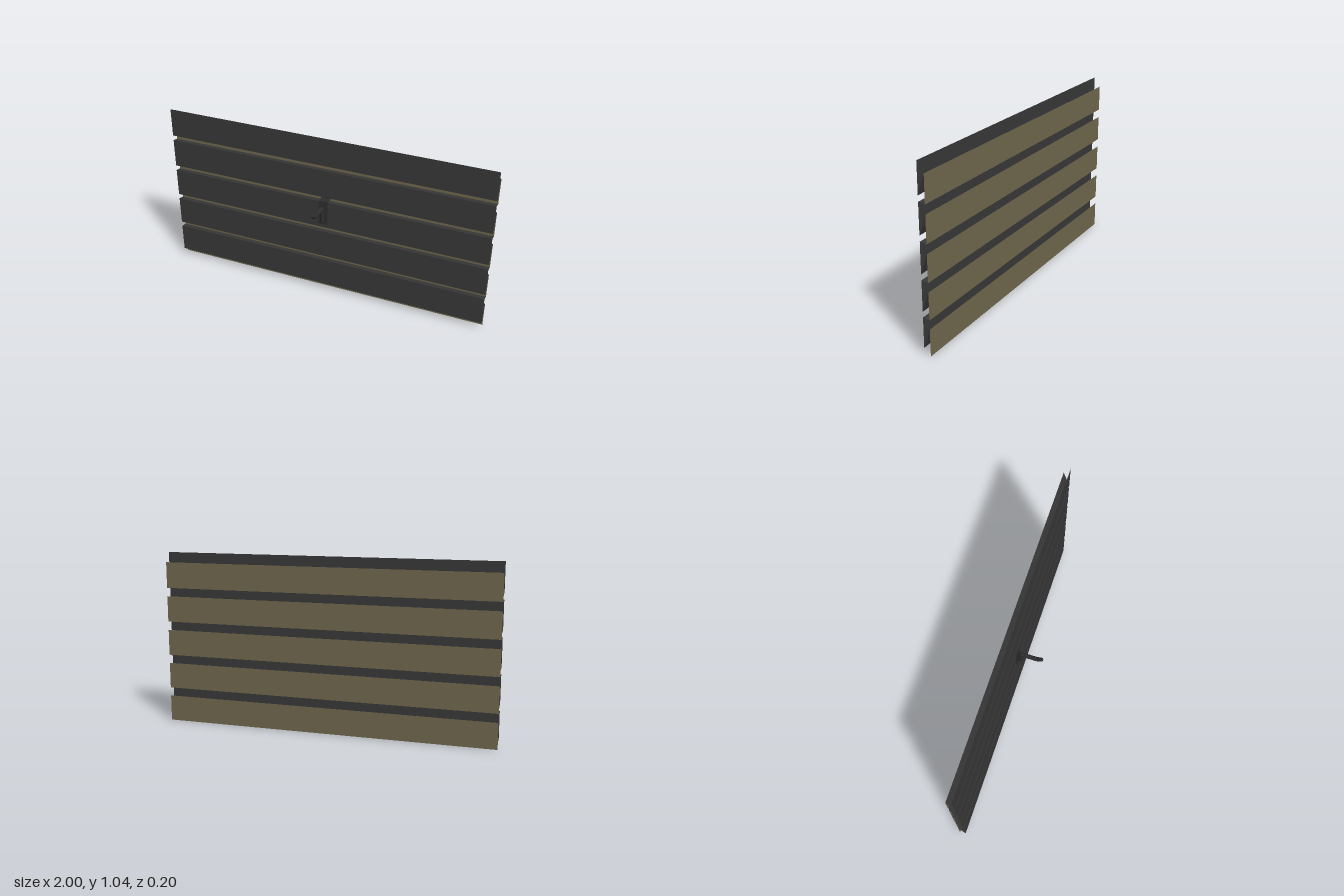
import * as THREE from 'three';

const mat = (color) => new THREE.MeshStandardMaterial({ color, side: THREE.DoubleSide });

export function createModel() {
  const model = new THREE.Group();
  const dark = mat(0x383838), tan = mat(0x6f674d), steel = mat(0x2e2e2e);
  const add = (parent, name, geometry, material) => {
    const mesh = new THREE.Mesh(geometry, material);
    mesh.name = name;
    parent.add(mesh);
    return mesh;
  };

  // Flat sheet running the full width between two [y, z] profile points
  const sheet = (parent, name, [y0, z0], [y1, z1], material) => {
    const dy = y1 - y0, dz = z1 - z0;
    const g = new THREE.PlaneGeometry(2, Math.hypot(dy, dz));
    g.rotateX(Math.atan2(dz, dy));
    g.translate(0, (y0 + y1) / 2, (z0 + z1) / 2);
    add(parent, name, g, material);
  };

  // Slatted wall panel: front face, back strip, sloping web and slot ledge
  const panel = new THREE.Group();
  panel.name = 'slatPanel';
  model.add(panel);
  const count = 5, pitch = 0.206, front = -0.061, back = -0.1;
  for (let i = 0; i < count; i++) {
    const y = i * pitch;
    const slat = new THREE.Group();
    slat.name = 'slat' + (i + 1);
    panel.add(slat);
    sheet(slat, 'slatFace', [y + 0.039, front], [y + 0.213, front], dark);
    sheet(slat, 'slatBack', [y, back], [y + 0.155, back], tan);
    sheet(slat, 'slatWeb', [y + 0.039, front], [y + 0.155, back], dark);
    if (i < count - 1) sheet(slat, 'slotLedge', [y + 0.213, front], [y + pitch, back], dark);
  }

  // Hook hanging in a slot
  const hook = new THREE.Group();
  hook.name = 'hook';
  model.add(hook);
  const box = (name, w, y0, y1, z0, z1) => {
    const g = new THREE.BoxGeometry(w, y1 - y0, z1 - z0);
    g.translate(0, (y0 + y1) / 2, (z0 + z1) / 2);
    add(hook, name, g, steel);
  };
  box('hookPlate', 0.056, 0.478, 0.634, -0.056, -0.051);
  box('hookLedge', 0.056, 0.629, 0.634, -0.098, -0.056);
  box('hookTab', 0.056, 0.629, 0.687, -0.099, -0.094);

  // Bent rod: up the plate, forward, then a raised tip
  const p = (y, z) => new THREE.Vector3(0, y, z);
  const path = new THREE.CurvePath();
  path.add(new THREE.LineCurve3(p(0.503, -0.038), p(0.579, -0.038)));
  path.add(new THREE.QuadraticBezierCurve3(p(0.579, -0.038), p(0.595, -0.038), p(0.595, -0.022)));
  path.add(new THREE.LineCurve3(p(0.595, -0.022), p(0.595, 0.058)));
  path.add(new THREE.QuadraticBezierCurve3(p(0.595, 0.058), p(0.595, 0.066), p(0.599, 0.072)));
  path.add(new THREE.LineCurve3(p(0.599, 0.072), p(0.609, 0.088)));
  const radius = 0.0125;
  add(hook, 'hookRod', new THREE.TubeGeometry(path, 48, radius, 10, false), steel);
  for (const [name, end] of [['rodFoot', p(0.503, -0.038)], ['rodTip', p(0.609, 0.088)]]) {
    add(hook, name, new THREE.SphereGeometry(radius, 10, 8), steel).position.copy(end);
  }
  return model;
}
